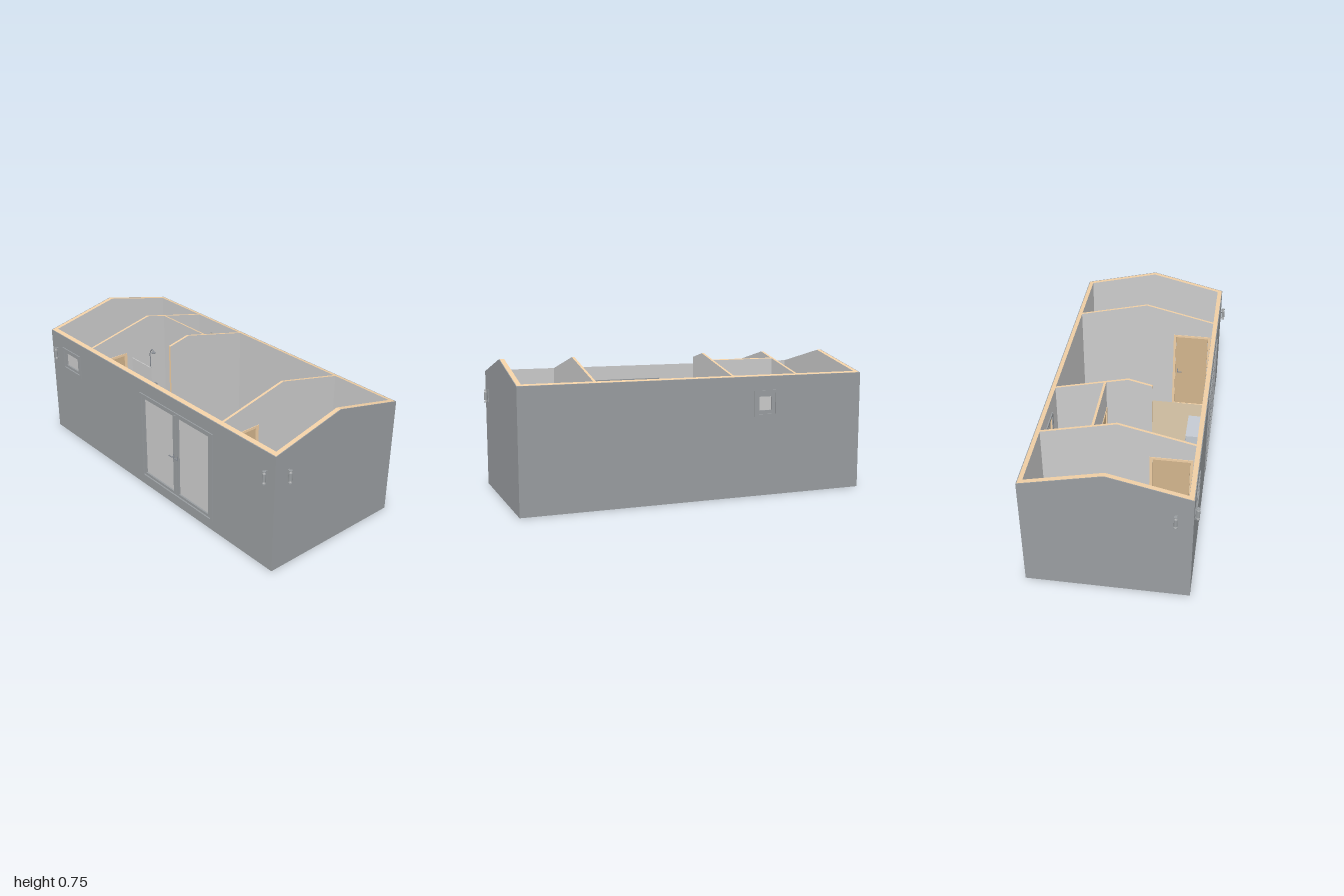
import * as THREE from 'three';

const mat = (color) => new THREE.MeshStandardMaterial({ color, side: THREE.DoubleSide });
const grey = mat(0xcccccc), clad = mat(0x999da0), wood = mat(0xf0cfa5);
const floorMat = mat(0xc8b89c), doorMat = mat(0xd2b48c), metal = mat(0x8a8f96);
const porcelain = mat(0xc4cad2);

const X = 0.975, ZF = 0.418, ZB = -0.436, SKIN = 0.004, CORE = 0.024, FLOOR = 0.05;
const roofY = (z) => 0.755 - 0.234 * Math.abs(z + 0.01);

export function createModel() {
  const house = new THREE.Group();
  house.name = 'cabin';

  const add = (parent, name, geo, material, x = 0, y = 0, z = 0) => {
    const m = new THREE.Mesh(geo, material);
    m.name = name;
    m.position.set(x, y, z);
    parent.add(m);
    return m;
  };
  const box = (p, name, m, w, h, d, x, y, z) => add(p, name, new THREE.BoxGeometry(w, h, d), m, x, y, z);
  const cyl = (p, name, m, r, h, x, y, z) => add(p, name, new THREE.CylinderGeometry(r, r, h, 20), m, x, y, z);
  const group = (name, x = 0, y = 0, z = 0, ry = 0) => {
    const g = new THREE.Group();
    g.name = name;
    g.position.set(x, y, z);
    g.rotation.y = ry;
    house.add(g);
    return g;
  };

  // Rectangles are [x0, y0, x1, y1]
  const rectPoints = ([a, b, c, d]) => [[a, b], [c, b], [c, d], [a, d]].map((p) => new THREE.Vector2(...p));
  const plate = (outline, holes, depth) => {
    const s = new THREE.Shape(outline);
    holes.forEach((h) => s.holes.push(new THREE.Path(rectPoints(h))));
    return new THREE.ExtrudeGeometry(s, { depth, bevelEnabled: false });
  };

  // Wall running along x; its top is cut to the roof slope
  const wallX = (name, x0, x1, y0, z0, depth, holes, mats) => {
    const geo = plate(rectPoints([x0, y0, x1, 0.7]), holes, depth).translate(0, 0, z0);
    const p = geo.attributes.position;
    for (let i = 0; i < p.count; i++) if (p.getY(i) > 0.65) p.setY(i, roofY(p.getZ(i)));
    geo.computeVertexNormals();
    add(house, name, geo, mats);
  };
  // Wall running along z with a gabled top; xMax is its +x face
  const wallZ = (name, z0, z1, y0, xMax, depth, holes, mats) => {
    const pts = [[z0, y0], [z1, y0], [z1, roofY(z1)], [-0.01, roofY(-0.01)], [z0, roofY(z0)]];
    const geo = plate(pts.map((p) => new THREE.Vector2(...p)), holes, depth);
    add(house, name, geo.rotateY(-Math.PI / 2).translate(xMax, 0, 0), mats);
  };

  // Openings
  const DOORS = [-0.065, 0.065, 0.515, 0.567];
  const FRONT_WIN = [-0.845, 0.455, -0.685, 0.565];
  const BACK_WIN = [-0.44, 0.45, -0.325, 0.565];
  const SIDE_DOOR = [0.17, FLOOR, 0.365, 0.55];
  const BATH_DOOR = [-0.425, FLOOR, -0.22, 0.55];

  // Outer walls: timber core with thin cladding
  const lined = [grey, wood];
  const xi = X - SKIN, inner = xi - CORE;
  const frontHoles = [DOORS, FRONT_WIN];
  wallX('frontWall', -inner, inner, 0, ZF - SKIN - CORE, CORE, frontHoles, lined);
  wallX('frontCladding', -X, X, 0, ZF - SKIN, SKIN, frontHoles, clad);
  wallX('backWall', -inner, inner, 0, ZB + SKIN, CORE, [BACK_WIN], lined);
  wallX('backCladding', -X, X, 0, ZB, SKIN, [BACK_WIN], clad);
  for (const s of [-1, 1]) {
    const side = s > 0 ? 'left' : 'right';
    wallZ(side + 'GableWall', ZB + SKIN, ZF - SKIN, 0, s > 0 ? xi : -inner, CORE, [], lined);
    wallZ(side + 'GableCladding', ZB + SKIN, ZF - SKIN, 0, s > 0 ? X : -xi, SKIN, [], clad);
  }

  // Floor slab
  const zi0 = ZB + SKIN + CORE, zi1 = ZF - SKIN - CORE, zm = (zi0 + zi1) / 2;
  box(house, 'floorBase', clad, 2 * inner, 0.012, zi1 - zi0, 0, 0.036, zm);
  box(house, 'floorBoards', floorMat, 2 * inner, 0.008, zi1 - zi0, 0, 0.046, zm);

  // Partitions
  const T = 0.014;
  wallZ('rightPartition', zi0, zi1, 0.04, -0.569, T, [SIDE_DOOR], lined);
  wallZ('leftPartition', zi0, zi1, 0.04, 0.58, T, [SIDE_DOOR], lined);
  wallZ('bathroomSideWall', zi0, 0.12, 0.04, -0.188, T, [], lined);
  wallX('bathroomCrossWall', -0.569, -0.202, 0.04, -0.142, T, [BATH_DOOR], lined);

  // Lever handle on both faces of a leaf; dir is the way the lever points
  const lever = (p, x, y, half, dir) => {
    for (const s of [-1, 1]) {
      box(p, 'handlePlate', metal, 0.008, 0.03, 0.002, x, y, s * half);
      box(p, 'handleStem', metal, 0.005, 0.005, 0.014, x, y, s * (half + 0.007));
      box(p, 'handleLever', metal, 0.028, 0.005, 0.004, x + dir * 0.011, y, s * (half + 0.013));
    }
  };

  // Glazed unit: casings on both wall faces, a deep frame and panes
  const glazed = (name, zc, outer, hole, panes, outDir) => {
    const g = group(name, 0, 0, zc);
    const half = (SKIN + CORE) / 2;
    for (const s of [-1, 1]) {
      const z = s > 0 ? half : -half - 0.006;
      add(g, 'casing', plate(rectPoints(outer), [hole], 0.006), clad, 0, 0, z);
    }
    add(g, 'sash', plate(rectPoints(hole), panes, 0.016), clad, 0, 0, -0.008 + outDir * 0.004);
    for (const [a, b, c, d] of panes)
      box(g, 'pane', grey, c - a, d - b, 0.005, (a + c) / 2, (b + d) / 2, 0);
    return g;
  };
  const zFront = ZF - (SKIN + CORE) / 2, zBack = ZB + (SKIN + CORE) / 2;
  const doors = glazed('glazedDoors', zFront, [-0.08, 0.056, 0.53, 0.58], DOORS,
    [[-0.05, 0.08, 0.2, 0.55], [0.245, 0.08, 0.49, 0.55]], 1);
  lever(doors, 0.206, 0.305, 0.013, -1);
  lever(doors, 0.239, 0.305, 0.013, 0);
  box(doors, 'meetingStrip', clad, 0.012, 0.49, 0.024, 0.2225, 0.315, 0.004);
  glazed('frontWindow', zFront, [-0.86, 0.44, -0.67, 0.58], FRONT_WIN, [[-0.83, 0.47, -0.705, 0.55]], 1);
  glazed('backWindow', zBack, [-0.455, 0.437, -0.31, 0.58], BACK_WIN, [[-0.42, 0.47, -0.345, 0.545]], -1);

  // Timber inner doors, built along local x
  const innerDoor = (name, [a, b, c, d], x, z, ry, handleX, dir) => {
    const g = group(name, x, 0, z, ry);
    for (const s of [-1, 1]) {
      const geo = plate(rectPoints([a - 0.014, b, c + 0.014, d + 0.014]), [[a, b + 0.0005, c, d]], 0.003);
      add(g, 'casing', geo, wood, 0, 0, s > 0 ? T / 2 : -T / 2 - 0.003);
    }
    box(g, 'leaf', doorMat, c - a - 0.004, d - b - 0.004, 0.009, (a + c) / 2, (b + d) / 2, 0);
    lever(g, handleX, 0.3, 0.006, dir);
  };
  innerDoor('rightInnerDoor', SIDE_DOOR, -0.576, 0, -Math.PI / 2, 0.185, 1);
  innerDoor('leftInnerDoor', SIDE_DOOR, 0.573, 0, -Math.PI / 2, 0.185, 1);
  innerDoor('bathroomDoor', BATH_DOOR, 0, -0.135, 0, -0.405, 1);

  // Wall lamps, local +z points away from the wall
  const lamp = (x, z, ry) => {
    const g = group('wallLamp', x, 0.522, z, ry);
    box(g, 'backPlate', clad, 0.012, 0.07, 0.004, 0, 0, 0.002);
    cyl(g, 'lampBody', clad, 0.009, 0.042, 0, 0, 0.016);
    cyl(g, 'lampCore', grey, 0.005, 0.07, 0, 0, 0.016);
    for (const s of [-1, 1]) {
      cyl(g, 'lampRim', clad, 0.009, 0.004, 0, s * 0.034, 0.016);
      box(g, 'lampArm', clad, 0.004, 0.004, 0.016, 0, s * 0.028, 0.008);
    }
  };
  for (const s of [-1, 1]) {
    lamp(s * 0.917, ZF, 0);
    lamp(s * X, 0.333, s * Math.PI / 2);
  }

  // Toilet
  const toilet = group('toilet', -0.385, FLOOR, 0);
  box(toilet, 'cistern', porcelain, 0.09, 0.085, 0.046, 0, 0.145, -0.383);
  box(toilet, 'cisternLid', porcelain, 0.095, 0.008, 0.05, 0, 0.19, -0.383);
  const bowl = [[0.026, 0], [0.024, 0.03], [0.036, 0.075], [0.044, 0.1], [0.034, 0.1], [0.022, 0.06], [0, 0.05]];
  add(toilet, 'bowl', new THREE.LatheGeometry(bowl.map((p) => new THREE.Vector2(...p)), 28), porcelain, 0, 0, -0.307)
    .scale.z = 1.3;
  cyl(toilet, 'seatLid', porcelain, 0.044, 0.006, 0, 0.104, -0.307).scale.z = 1.3;
  box(toilet, 'pedestal', porcelain, 0.06, 0.1, 0.07, 0, 0.05, -0.37);

  // Wash basin
  const basin = group('washBasin', -0.532, 0.25, -0.212);
  const dish = [[0, -0.045], [0.03, -0.035], [0.048, 0], [0.042, 0], [0.026, -0.025], [0, -0.03]];
  add(basin, 'dish', new THREE.LatheGeometry(dish.map((p) => new THREE.Vector2(...p)), 28), porcelain);
  box(basin, 'tapLedge', porcelain, 0.022, 0.03, 0.09, -0.026, -0.012, 0);
  cyl(basin, 'tapPost', metal, 0.004, 0.03, -0.026, 0.018, 0);
  box(basin, 'tapSpout', metal, 0.035, 0.005, 0.006, -0.01, 0.032, 0);
  cyl(basin, 'basinPedestal', porcelain, 0.016, 0.16, -0.012, -0.12, 0);

  // Shower: mixer, riser, head and glass screen
  const shower = group('shower', -0.569, 0, -0.008);
  box(shower, 'mixer', metal, 0.014, 0.012, 0.06, 0.012, 0.3, 0);
  for (const s of [-1, 1]) box(shower, 'mixerKnob', metal, 0.02, 0.012, 0.012, 0.012, 0.3, s * 0.035);
  const path = new THREE.CatmullRomCurve3([[0.012, 0.3], [0.012, 0.45], [0.014, 0.53], [0.035, 0.55], [0.045, 0.535]]
    .map(([x, y]) => new THREE.Vector3(x, y, 0)));
  add(shower, 'riserPipe', new THREE.TubeGeometry(path, 30, 0.003, 8), metal);
  cyl(shower, 'showerHead', metal, 0.011, 0.007, 0.045, 0.532, 0);
  box(house, 'showerScreen', grey, 0.19, 0.47, 0.005, -0.474, 0.285, 0.115);

  // Air conditioner on the front wall, inside
  const air = group('airConditioner', -0.225, 0.47, 0.35);
  box(air, 'housing', porcelain, 0.18, 0.06, 0.076, 0, 0, 0.002);
  box(air, 'outletSlot', metal, 0.16, 0.008, 0.003, 0, -0.018, -0.037);

  return house;
}
